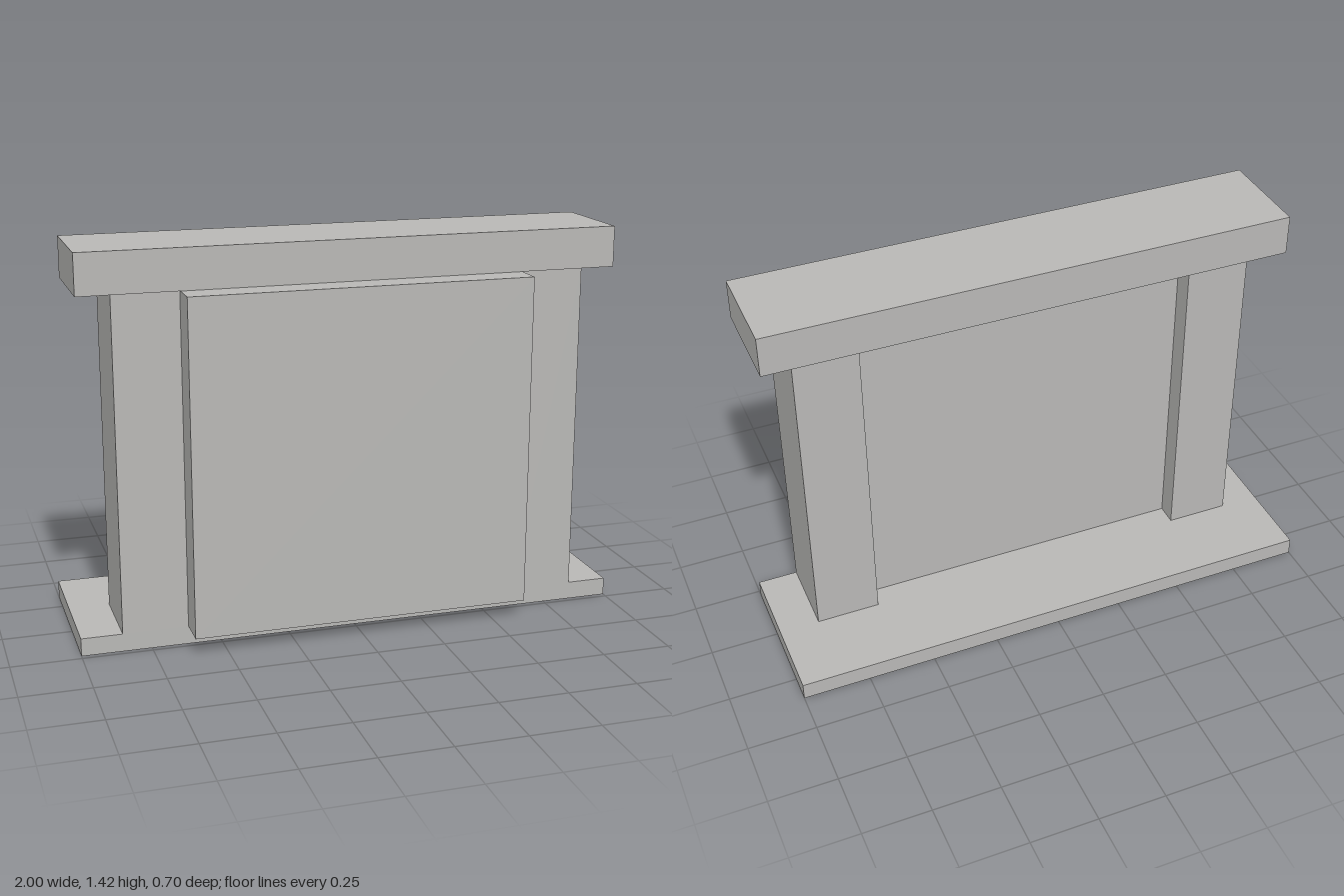
import * as THREE from 'three';

export function createModel() {
  const group = new THREE.Group();
  const stone = new THREE.MeshStandardMaterial({ color: 0xb8b7b5 });
  stone.name = 'greyStone';

  // Box given by its extents along each axis
  const block = (name, [x0, x1], [y0, y1], [z0, z1]) => {
    const mesh = new THREE.Mesh(new THREE.BoxGeometry(x1 - x0, y1 - y0, z1 - z0), stone);
    mesh.position.set((x0 + x1) / 2, (y0 + y1) / 2, (z0 + z1) / 2);
    mesh.name = name;
    group.add(mesh);
  };

  const baseTop = 0.065, shelfBottom = 1.275, top = 1.422;
  const inner = 0.618, outer = 0.853;

  // Hearth slab, reaching out behind
  block('hearth', [-1, 1], [0, baseTop], [-0.35, 0.23]);

  // Side pillars
  block('leftPillar', [inner, outer], [baseTop, shelfBottom], [-0.062, 0.23]);
  block('rightPillar', [-outer, -inner], [baseTop, shelfBottom], [-0.062, 0.23]);

  // Panel between the pillars, recessed behind and proud in front
  block('panel', [-inner, inner], [baseTop, shelfBottom], [0.018, 0.35]);

  // Mantel shelf
  block('mantel', [-0.972, 0.972], [shelfBottom, top], [-0.127, 0.243]);

  return group;
}
